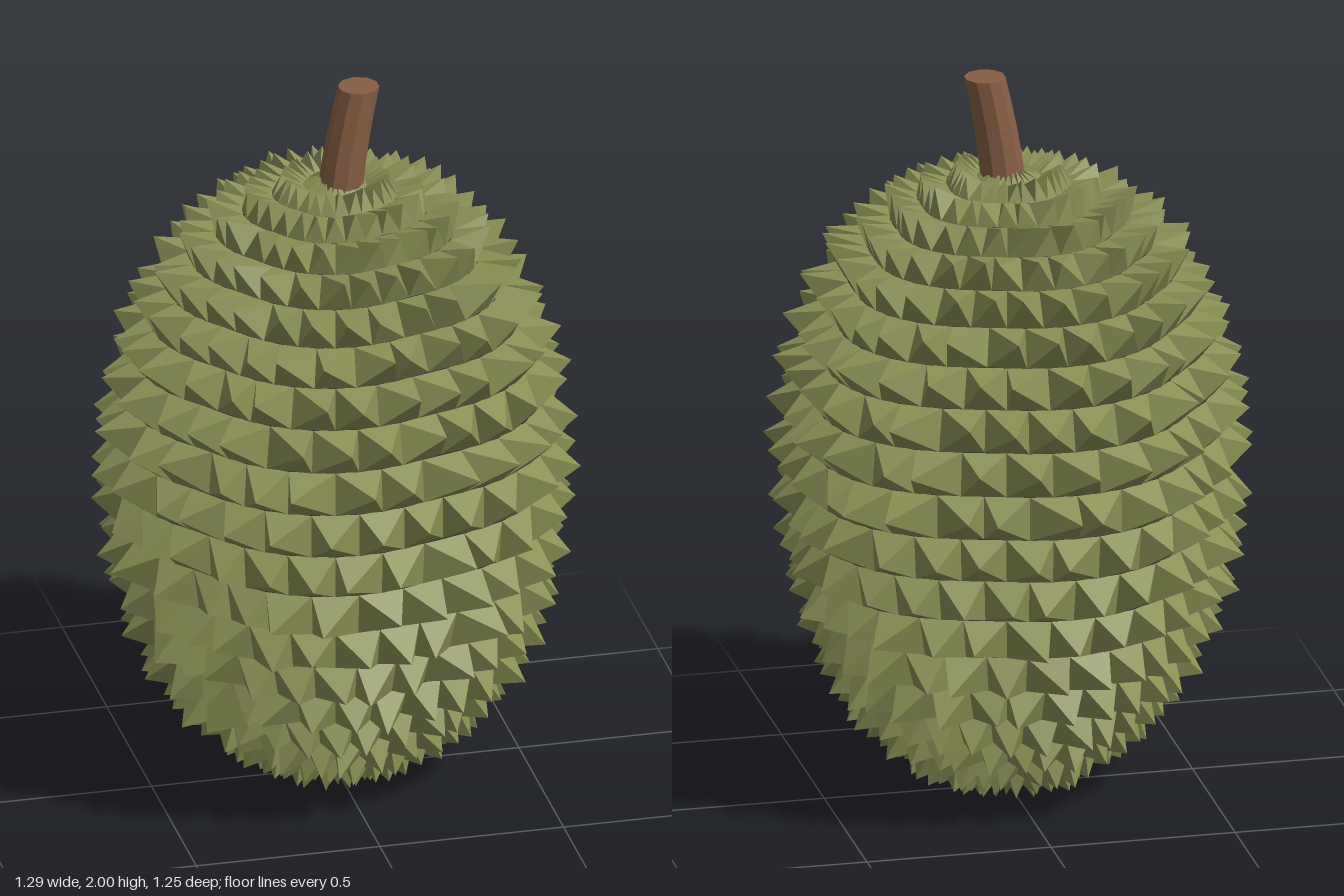
import * as THREE from 'three';

const ROWS = 22, COLS = 28, CENTRE_Y = 0.88;
const RX = 0.56, RY = 0.85, RZ = 0.53;

// Small seeded random generator, 0..1
function makeRandom(seed) {
  return () => {
    seed = (seed * 16807) % 2147483647;
    return seed / 2147483647;
  };
}

// Point on the husk: an ellipsoid, fuller at the top, with five grooves and small pits at the ends
function huskPoint(row, col) {
  const lat = (row / ROWS - 0.5) * Math.PI;
  const a = (col / COLS) * Math.PI * 2;
  const s = Math.sin(lat);
  const lobe = 0.955 + 0.07 * Math.abs(Math.sin(2.5 * a));
  const c = Math.cos(lat) * lobe * (1 + 0.055 * s);
  const pit = 0.03 * Math.exp(-Math.pow((c * RX) / 0.06, 2));
  return new THREE.Vector3(
    RX * c * Math.cos(a),
    CENTRE_Y + RY * s - Math.sign(s) * pit,
    RZ * c * Math.sin(a)
  );
}

// Tip of a thorn, raised along the ellipsoid normal and shorter towards the ends
function thornTip(row, col, random) {
  const p = huskPoint(row + (random() - 0.5) * 0.12, col + (random() - 0.5) * 0.8);
  const n = new THREE.Vector3(p.x / RX ** 2, (p.y - CENTRE_Y) / RY ** 2, p.z / RZ ** 2).normalize();
  const girth = Math.hypot(p.x, p.z) / RX;
  const length = 0.088 * Math.min(1, 0.28 + girth) * (0.85 + random() * 0.3);
  return p.addScaledVector(n, length);
}

// Rows of four-sided thorns, every second row shifted by half a thorn
function thornyHuskGeometry() {
  const random = makeRandom(4711);
  const points = [];
  for (let r = 0; r < ROWS; r++) {
    for (let i = 0; i < COLS; i++) {
      const c = i + (r % 2) * 0.5;
      const corners = [
        huskPoint(r, c), huskPoint(r + 1, c),
        huskPoint(r + 1, c + 1), huskPoint(r, c + 1),
      ];
      const tip = thornTip(r + 0.5, c + 0.5, random);
      for (let k = 0; k < 4; k++) {
        const p = corners[k], q = corners[(k + 1) % 4];
        if (p.distanceTo(q) > 1e-5) points.push(p, q, tip);
      }
    }
  }
  const geometry = new THREE.BufferGeometry().setFromPoints(points);
  geometry.computeVertexNormals();
  return geometry;
}

// Faceted stem, bent towards +x
function stemGeometry() {
  const bottom = 1.64, top = 2.0;
  const geometry = new THREE.CylinderGeometry(0.055, 0.061, top - bottom, 10, 5).toNonIndexed();
  geometry.translate(0, (top + bottom) / 2, 0);
  const pos = geometry.attributes.position;
  for (let i = 0; i < pos.count; i++) {
    const t = Math.max(0, (pos.getY(i) - bottom) / (top - bottom));
    pos.setX(i, pos.getX(i) + 0.008 + 0.054 * Math.pow(t, 1.5));
    pos.setZ(i, pos.getZ(i) + 0.008);
  }
  geometry.computeVertexNormals();
  return geometry;
}

export function createModel() {
  const huskGreen = new THREE.MeshStandardMaterial({ color: 0x8a9054 });
  huskGreen.name = 'husk green';
  const stemBrown = new THREE.MeshStandardMaterial({ color: 0x875f43 });
  stemBrown.name = 'stem brown';

  const husk = new THREE.Mesh(thornyHuskGeometry(), huskGreen);
  husk.name = 'thornyHusk';
  const stem = new THREE.Mesh(stemGeometry(), stemBrown);
  stem.name = 'stem';

  const model = new THREE.Group();
  model.name = 'spikyFruit';
  model.add(husk, stem);
  return model;
}
